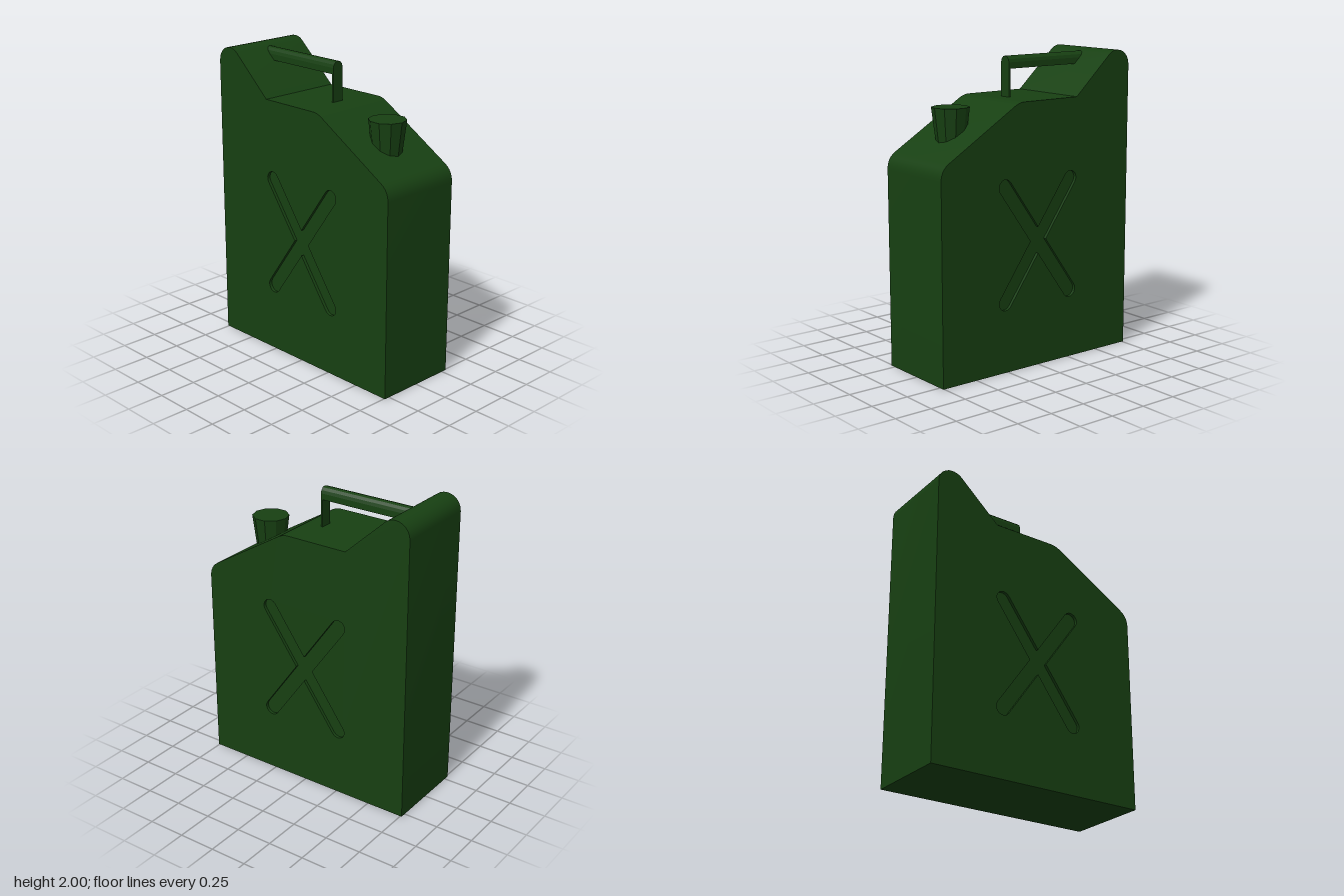
import * as THREE from 'three';
import { mergeGeometries, toCreasedNormals } from 'three/addons/utils/BufferGeometryUtils.js';

const HALF = 0.287;   // half thickness of the can
const RECESS = 0.02;  // depth of the pressed cross

// Outline of the can, seen from the front
function bodyShape() {
  const s = new THREE.Shape();
  s.moveTo(-0.76, 0);
  s.lineTo(0.757, 0);
  s.lineTo(0.757, 1.29);
  s.quadraticCurveTo(0.757, 1.36, 0.7, 1.395);
  s.lineTo(0.2, 1.695);
  s.quadraticCurveTo(0.16, 1.72, 0.12, 1.72);
  s.lineTo(-0.31, 1.72);
  s.lineTo(-0.59, 1.975);
  s.quadraticCurveTo(-0.62, 2, -0.66, 2);
  s.bezierCurveTo(-0.71, 2, -0.76, 1.96, -0.76, 1.9);
  s.closePath();
  return s;
}

// Outline of the cross: four round-ended arms with a notch before each
function crossPoints() {
  const cx = 0.005, cy = 0.83, r = 0.05, dx = 0.265, dy = 0.37;
  const tilt = Math.atan2(dy, dx);
  const arms = [tilt, Math.PI - tilt, Math.PI + tilt, -tilt];
  const notches = [[r / Math.sin(tilt), 0], [0, r / Math.cos(tilt)],
    [-r / Math.sin(tilt), 0], [0, -r / Math.cos(tilt)]];
  const pts = [];
  const len = Math.hypot(dx, dy);
  arms.forEach((a, i) => {
    pts.push(new THREE.Vector2(cx + notches[i][0], cy + notches[i][1]));
    for (let k = 0; k <= 8; k++) {
      const t = a - Math.PI / 2 + (k / 8) * Math.PI;
      pts.push(new THREE.Vector2(
        cx + len * Math.cos(a) + r * Math.cos(t),
        cy + len * Math.sin(a) + r * Math.sin(t)));
    }
  });
  return pts;
}

// Side walls of an extrusion, without its end caps
function walls(shape, depth) {
  const full = new THREE.ExtrudeGeometry(shape, { depth, bevelEnabled: false, curveSegments: 6 });
  const { start, count } = full.groups[1];
  const g = new THREE.BufferGeometry();
  for (const [name, size] of [['position', 3], ['normal', 3], ['uv', 2]]) {
    const data = full.attributes[name].array.slice(start * size, (start + count) * size);
    g.setAttribute(name, new THREE.BufferAttribute(data, size));
  }
  return g;
}

// One broad face with the cross pressed into it, facing +z
function faceGeometry() {
  const cross = crossPoints();
  const outline = bodyShape();
  outline.holes.push(new THREE.Path(cross));
  const plate = new THREE.ShapeGeometry(outline, 6).toNonIndexed().translate(0, 0, HALF);
  const floor = new THREE.ShapeGeometry(new THREE.Shape(cross)).toNonIndexed()
    .translate(0, 0, HALF - RECESS);
  // Mirroring in z turns the walls to face into the recess
  const rim = walls(new THREE.Shape(cross), RECESS).scale(1, 1, -1).translate(0, 0, HALF);
  rim.computeVertexNormals();
  return mergeGeometries([plate, floor, rim]);
}

// Turns a front face into a back face, with corners reordered
function mirrorZ(geometry) {
  const g = geometry.clone().scale(1, 1, -1);
  const p = g.attributes.position;
  const a = new THREE.Vector3(), b = new THREE.Vector3();
  for (let i = 0; i < p.count; i += 3) {
    a.fromBufferAttribute(p, i + 1);
    b.fromBufferAttribute(p, i + 2);
    p.setXYZ(i + 1, b.x, b.y, b.z);
    p.setXYZ(i + 2, a.x, a.y, a.z);
  }
  g.computeVertexNormals();
  return g;
}

export function createModel() {
  const model = new THREE.Group();
  model.name = 'fuelCan';
  const smooth = new THREE.MeshStandardMaterial({ color: 0x174012 });
  const faceted = new THREE.MeshStandardMaterial({ color: 0x174012, flatShading: true });
  const add = (name, geometry, material, parent = model) => {
    const mesh = new THREE.Mesh(geometry, material);
    mesh.name = name;
    parent.add(mesh);
    return mesh;
  };

  // Body: rounded side walls plus the two pressed faces
  const side = walls(bodyShape(), 2 * HALF).translate(0, 0, -HALF);
  const front = faceGeometry();
  const body = mergeGeometries([side, front, mirrorZ(front)]);
  add('body', toCreasedNormals(body, Math.PI / 6), smooth);

  // Handle: round-topped bar running into the shoulder, on a thin post
  const handle = new THREE.Group();
  handle.name = 'handle';
  model.add(handle);
  const section = new THREE.Shape();
  section.moveTo(-0.04, 1.9);
  section.lineTo(0.04, 1.9);
  section.lineTo(0.04, 1.94);
  section.absarc(0, 1.94, 0.04, 0, Math.PI, false);
  section.closePath();
  const bar = new THREE.ExtrudeGeometry(section, { depth: 0.67, bevelEnabled: false, curveSegments: 3 });
  bar.rotateY(Math.PI / 2).translate(-0.625, 0, 0);
  add('handleBar', bar, faceted, handle);
  add('handlePost', new THREE.BoxGeometry(0.012, 0.2, 0.08), faceted, handle)
    .position.set(0.039, 1.81, 0);

  // Cap: ten-sided, tapering down into the sloped shoulder
  const cap = add('cap', new THREE.CylinderGeometry(0.12, 0.089, 0.25, 10), faceted);
  cap.position.set(0.475, 1.565, 0);
  cap.rotation.y = Math.PI / 2;

  return model;
}
